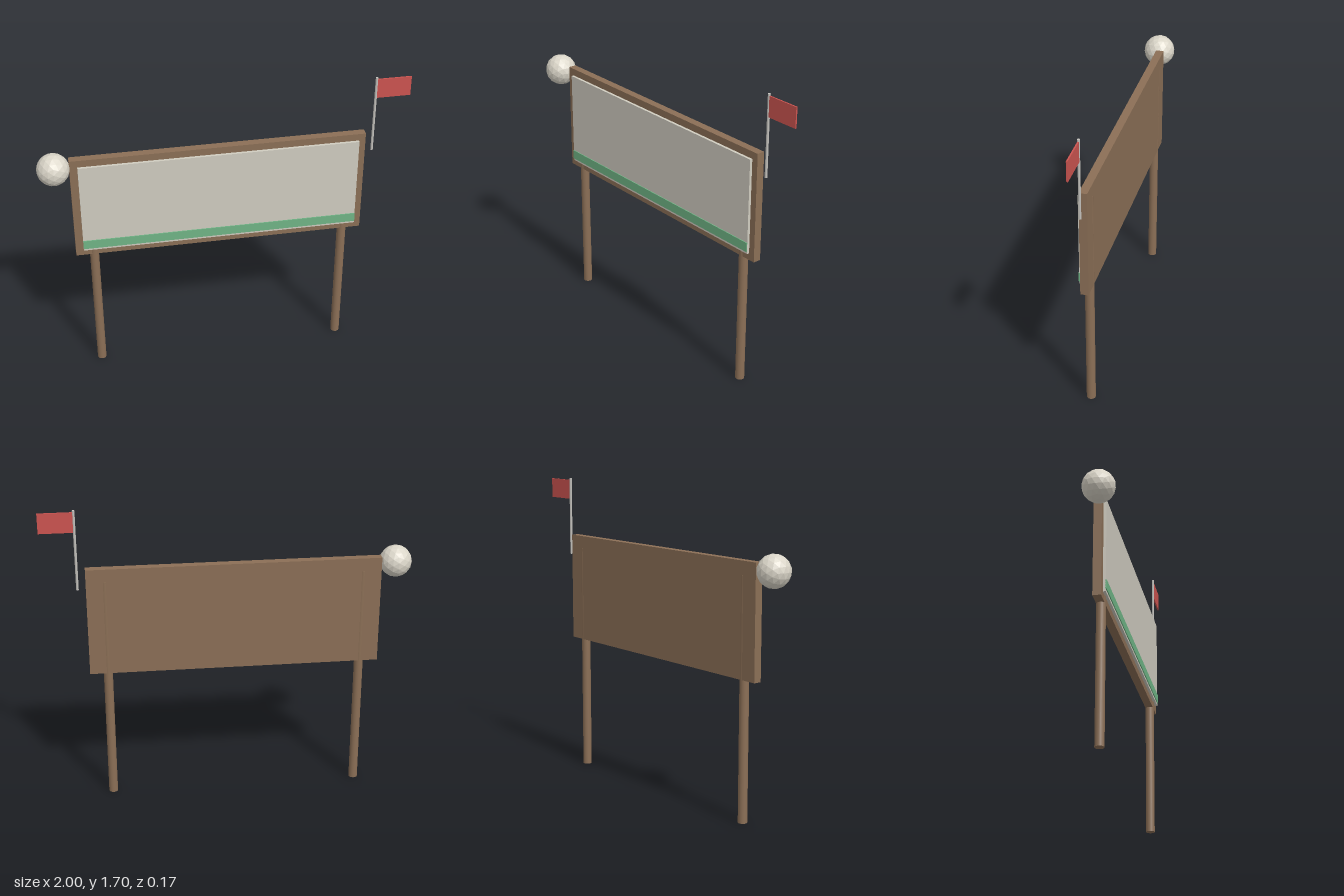
import * as THREE from 'three';

const material = (name, color) => {
  const m = new THREE.MeshStandardMaterial({ color });
  m.name = name;
  return m;
};

export function createModel() {
  const group = new THREE.Group();
  const wood = material('brown wood', 0x8b6f56);
  const panelGrey = material('warm grey panel', 0xd0ccc0);
  const ballWhite = material('off white', 0xdad5c8);
  const green = material('grass green', 0x70b586);
  const red = material('flag red', 0xcc5450);
  const poleGrey = material('pole grey', 0xc4c2bd);
  ballWhite.flatShading = true;

  const add = (name, geometry, mat, x, y, z) => {
    const mesh = new THREE.Mesh(geometry, mat);
    mesh.name = name;
    mesh.position.set(x, y, z);
    group.add(mesh);
    return mesh;
  };
  // Box given by its min and max corners
  const box = (name, mat, [x0, y0, z0], [x1, y1, z1]) =>
    add(name, new THREE.BoxGeometry(x1 - x0, y1 - y0, z1 - z0), mat,
      (x0 + x1) / 2, (y0 + y1) / 2, (z0 + z1) / 2);

  // Sign board with its raised panel and grass strip
  box('board', wood, [-0.828, 0.763, -0.044], [0.767, 1.374, 0]);
  box('panel', panelGrey, [-0.786, 0.802, 0], [0.73, 1.334, 0.015]);
  box('grassStrip', green, [-0.786, 0.815, 0.012], [0.73, 0.867, 0.02]);

  // Round posts, just showing through the back of the board
  for (const [name, x] of [['rightPost', -0.728], ['leftPost', 0.668]]) {
    add(name, new THREE.CylinderGeometry(0.025, 0.025, 1.3, 16), wood, x, 0.65, -0.0205);
  }

  // Faceted ball at the upper corner
  add('ball', new THREE.IcosahedronGeometry(0.088, 2), ballWhite, -0.912, 1.336, 0);

  // Flag on a thin pole
  add('flagPole', new THREE.CylinderGeometry(0.007, 0.007, 0.446, 8), poleGrey, 0.811, 1.478, -0.02);
  box('flag', red, [0.814, 1.58, -0.024], [1, 1.691, -0.016]);

  return group;
}
